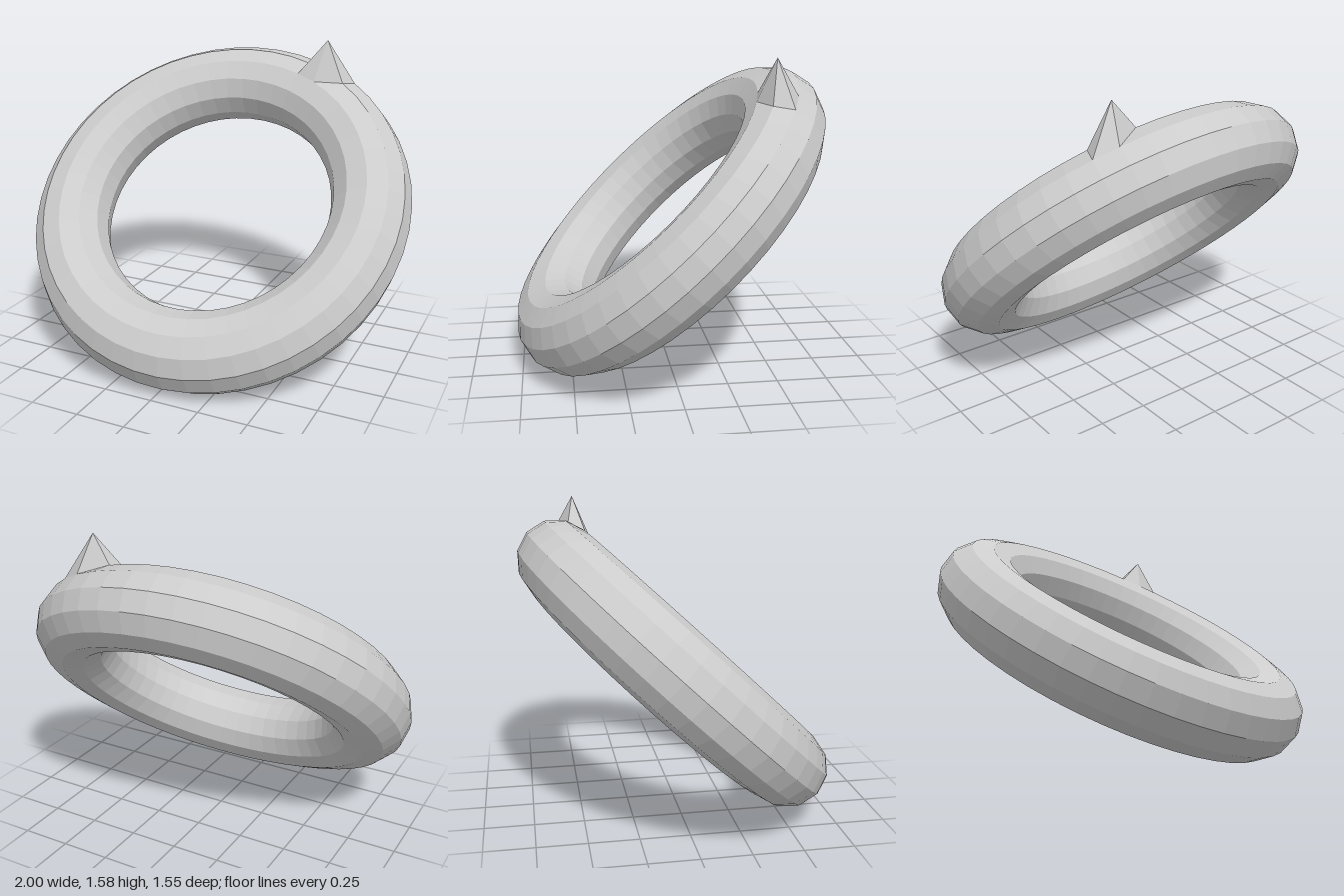
import * as THREE from 'three';

const RING_RADIUS = 0.8;
const TUBE_RADIUS = 0.2;
const TUBE_SIDES = 12;
const RING_STEPS = 48;

export function createModel() {
  const group = new THREE.Group();
  group.name = 'spikedRing';

  // Faceted ring, turned about its own axis, then tilted to lean back
  const geometry = new THREE.TorusGeometry(RING_RADIUS, TUBE_RADIUS, TUBE_SIDES, RING_STEPS);
  const axis = new THREE.Vector3(0.047, 0.725, 0.688).normalize();
  const across = new THREE.Vector3(1, 0, 0).addScaledVector(axis, -axis.x).normalize();
  const upSlope = new THREE.Vector3().crossVectors(axis, across);
  geometry.rotateZ(THREE.MathUtils.degToRad(2.8));
  geometry.applyMatrix4(new THREE.Matrix4().makeBasis(across, upSlope, axis));

  // Stand it on the ground
  geometry.computeBoundingBox();
  geometry.translate(0, -geometry.boundingBox.min.y, 0);

  // Spike: one vertex of the upper outer side pulled straight up
  const side = 2;
  const step = 8;
  const tip = side * (RING_STEPS + 1) + step;
  const position = geometry.attributes.position;
  position.setY(tip, position.getY(tip) + 0.168);

  // Separate faces for crisp facets
  const faceted = geometry.toNonIndexed();
  faceted.computeVertexNormals();

  const ring = new THREE.Mesh(
    faceted,
    new THREE.MeshStandardMaterial({ color: 0xcccccc, flatShading: true })
  );
  ring.name = 'ringWithSpike';
  group.add(ring);
  return group;
}
